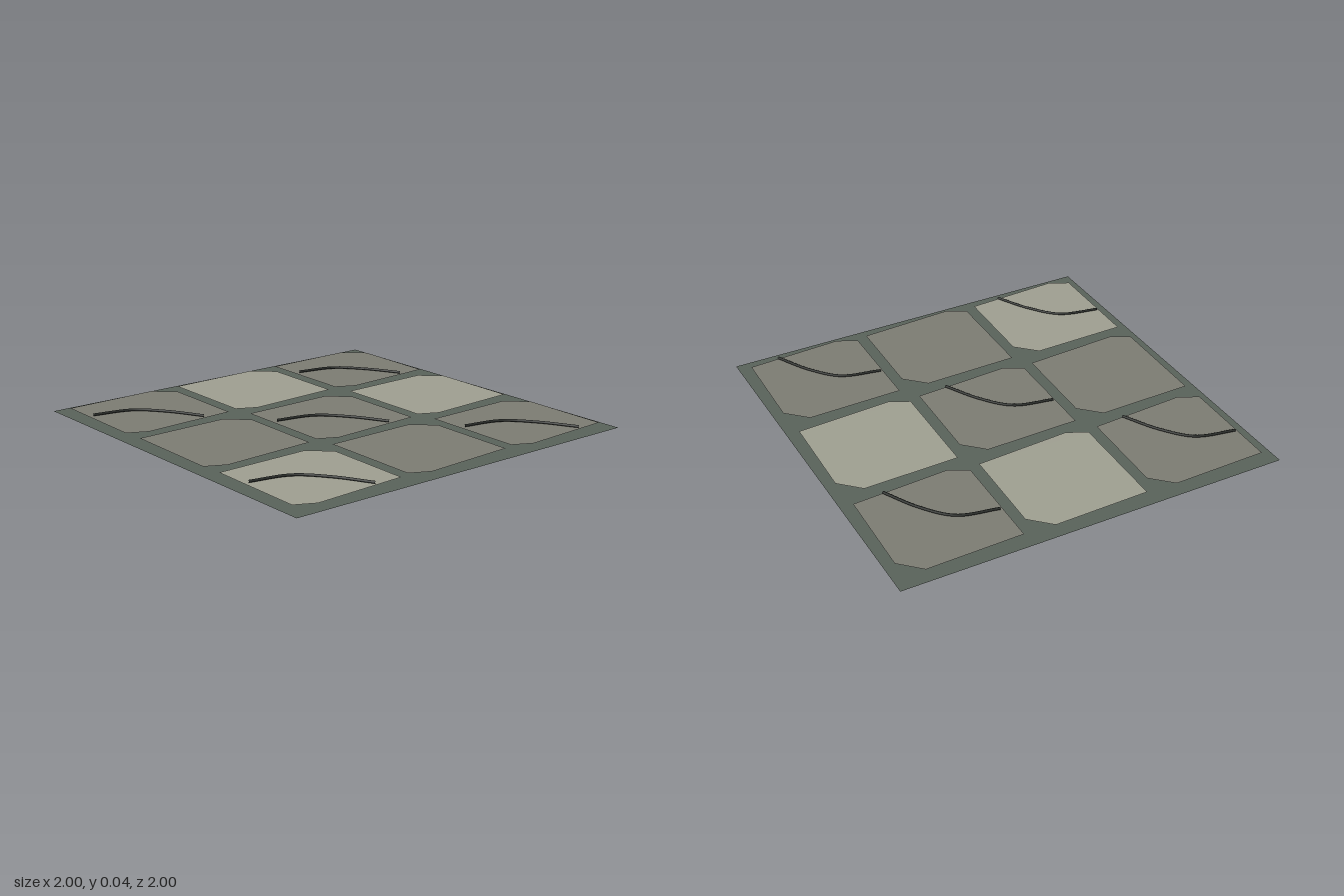
import * as THREE from 'three';

const material = (name, color, side = THREE.FrontSide) => {
  const m = new THREE.MeshStandardMaterial({ color, side });
  m.name = name;
  return m;
};

export function createModel() {
  const group = new THREE.Group();
  group.name = 'stonePaving';

  const moss = material('mossy ground', 0x59625a, THREE.DoubleSide);
  const darkStone = material('dark stone', 0x7c7c73, THREE.DoubleSide);
  const paleStone = material('pale stone', 0x9e9f91, THREE.DoubleSide);
  const crackColor = material('crack', 0x2c2f2c);

  const add = (name, geometry, mat, x, y, z) => {
    const mesh = new THREE.Mesh(geometry, mat);
    mesh.name = name;
    mesh.position.set(x, y, z);
    group.add(mesh);
  };

  // Ground sheet
  add('ground', new THREE.PlaneGeometry(2, 2).rotateX(-Math.PI / 2), moss, 0, 0, 0);

  // Irregular flagstone with clipped corners, as [x, z]
  const outline = [[-0.292, -0.282], [0.2, -0.292], [0.302, -0.193],
    [0.292, 0.276], [-0.2, 0.305], [-0.3, 0.255]];
  const stone = new THREE.ShapeGeometry(
    new THREE.Shape(outline.map(([x, z]) => new THREE.Vector2(x, -z)))
  ).rotateX(-Math.PI / 2);

  // Curved crack lying on a stone
  const path = new THREE.CatmullRomCurve3(
    [[-0.28, -0.08], [-0.08, -0.03], [0.04, 0.1], [0.14, 0.28]]
      .map(([x, z]) => new THREE.Vector3(x, 0, z))
  );
  const crack = new THREE.TubeGeometry(path, 24, 0.007, 6);

  // Layout from back to front: p = pale, d = dark, capital = cracked
  ['DpD', 'dDp', 'PdD'].forEach((row, r) => [...row].forEach((kind, c) => {
    const x = (c - 1) * 0.65;
    const z = (r - 1) * 0.65;
    add('flagstone', stone, kind.toLowerCase() === 'p' ? paleStone : darkStone, x, 0.02, z);
    if (kind !== kind.toLowerCase()) add('crack', crack, crackColor, x, 0.03, z);
  }));

  return group;
}
